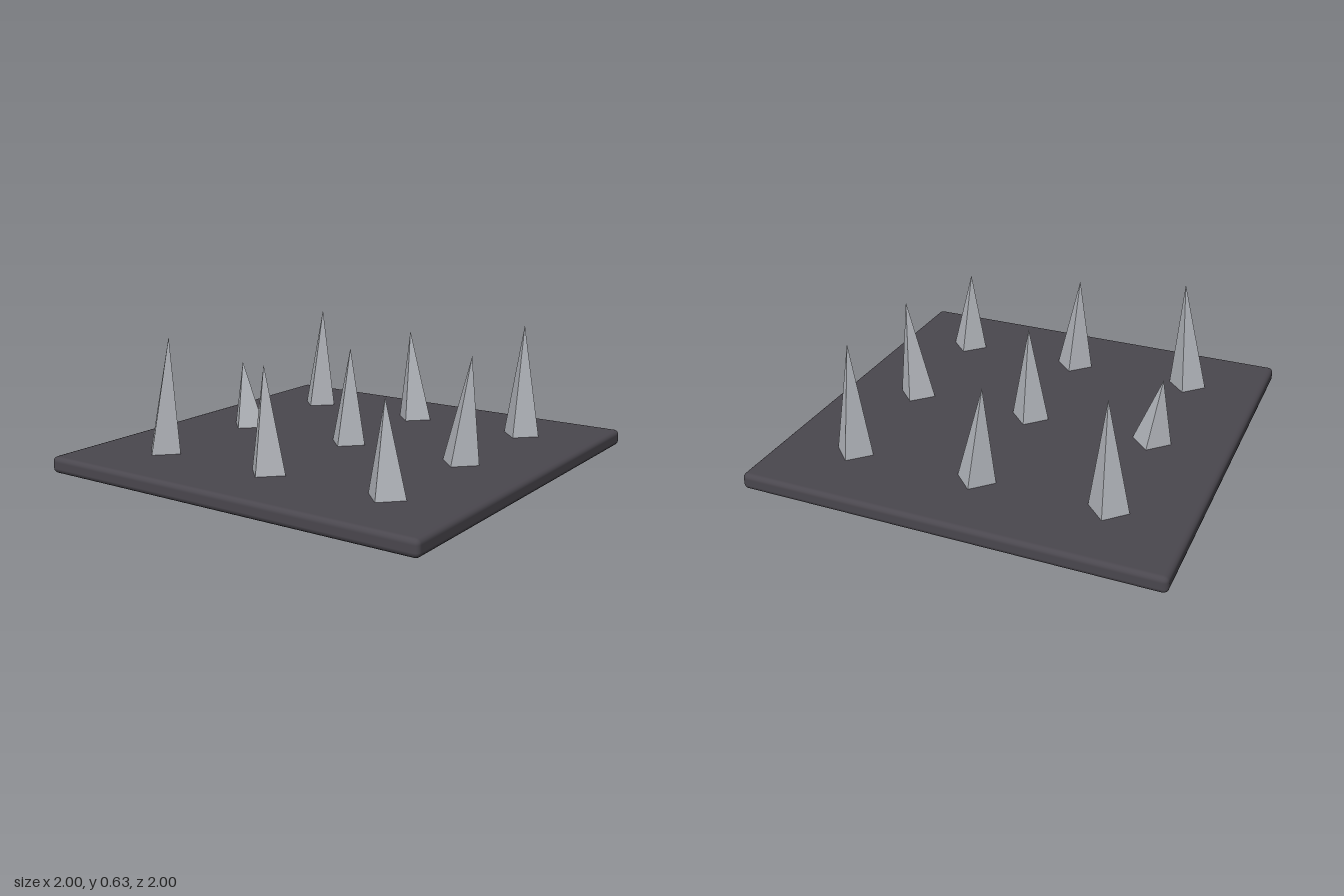
import * as THREE from 'three';
import { RoundedBoxGeometry } from 'three/addons/geometries/RoundedBoxGeometry.js';

const PLATE_HEIGHT = 0.08;
const SPACING = 0.625;
const SPIKE_RADIUS = 0.095;

// Four-sided spike standing on y = 0, its tip leaning sideways
function spikeGeometry(height, lean) {
  const geometry = new THREE.ConeGeometry(SPIKE_RADIUS, height, 4, 1);
  geometry.translate(0, height / 2, 0);
  const shear = new THREE.Matrix4().set(
    1, lean / height, 0, 0,
    0, 1, 0, 0,
    0, 0, 1, 0,
    0, 0, 0, 1
  );
  return geometry.applyMatrix4(shear);
}

export function createModel() {
  const group = new THREE.Group();
  group.name = 'spikeTrap';

  const darkIron = new THREE.MeshStandardMaterial({ color: 0x4a474e });
  darkIron.name = 'dark iron';
  const steel = new THREE.MeshStandardMaterial({ color: 0xb2b5bb });
  steel.name = 'steel';
  steel.flatShading = true;

  // Base plate with softened edges
  const plate = new THREE.Mesh(new RoundedBoxGeometry(2, PLATE_HEIGHT, 2, 2, 0.025), darkIron);
  plate.name = 'basePlate';
  plate.position.y = PLATE_HEIGHT / 2;
  group.add(plate);

  // Rows from back to front, each spike as [tip height, sideways lean]
  const rows = [
    [[0.61, 0.02], [0.545, -0.035], [0.635, 0]],
    [[0.41, -0.04], [0.55, 0.01], [0.58, 0.045]],
    [[0.635, 0.043], [0.565, -0.02], [0.5, -0.015]],
  ];
  rows.forEach((row, r) => row.forEach(([tip, lean], c) => {
    const spike = new THREE.Mesh(spikeGeometry(tip - PLATE_HEIGHT, lean), steel);
    spike.name = `spike${r * 3 + c + 1}`;
    spike.position.set((c - 1) * SPACING, PLATE_HEIGHT, (r - 1) * SPACING);
    group.add(spike);
  }));

  return group;
}
